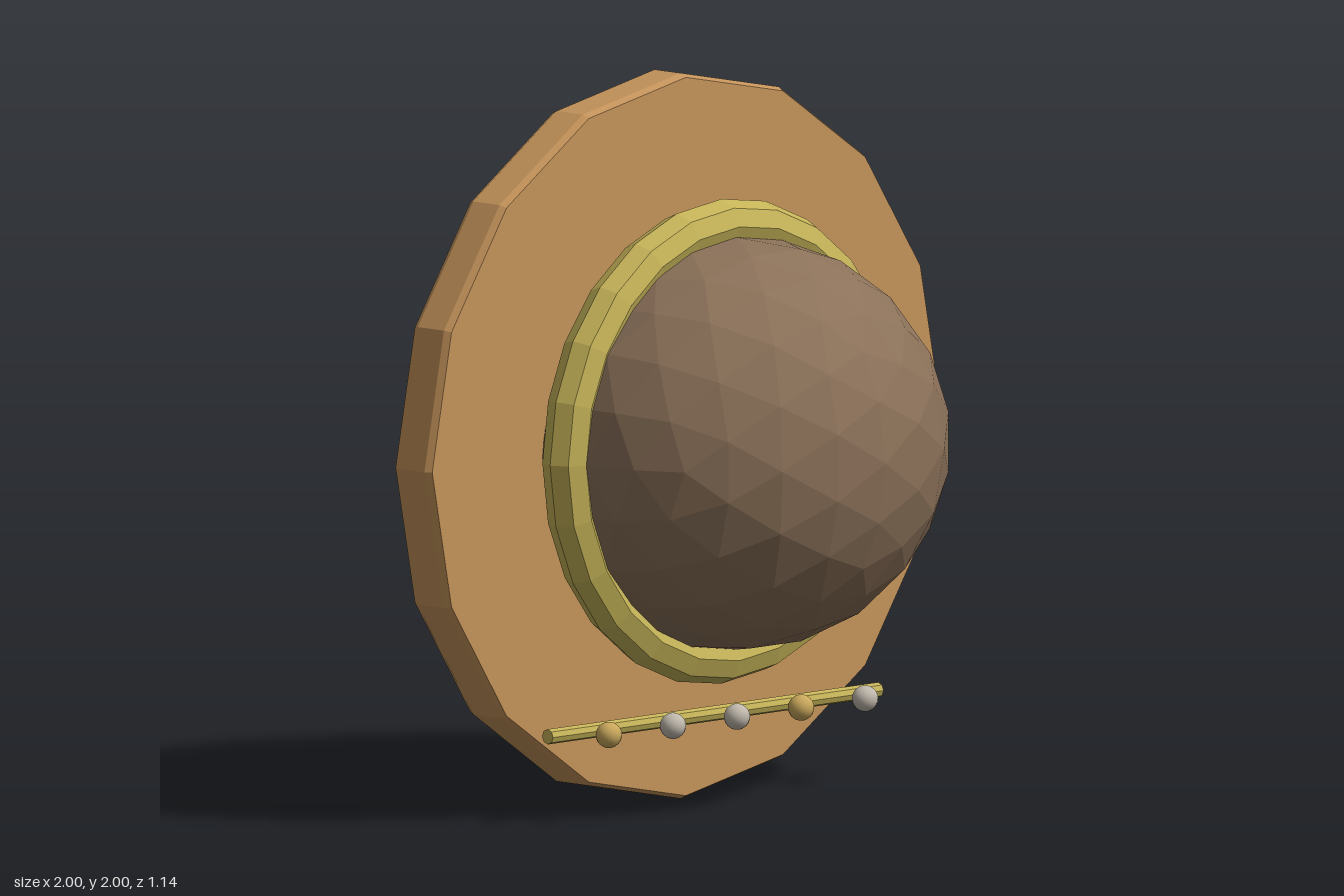
import * as THREE from 'three';

export function createModel() {
  const model = new THREE.Group();
  const paint = (name, color, flatShading = true) => {
    const m = new THREE.MeshStandardMaterial({ color, flatShading });
    m.name = name;
    return m;
  };
  const tan = paint('tan', 0xc4935a);
  const brown = paint('brown', 0x8b7159);
  const brass = paint('brass', 0xc5b358);
  const gold = paint('gold', 0xc9a85c, false);
  const silver = paint('silver', 0xc0b8ac, false);

  const add = (name, geometry, material, x, y, z) => {
    const mesh = new THREE.Mesh(geometry, material);
    mesh.name = name;
    mesh.position.set(x, y, z);
    model.add(mesh);
    return mesh;
  };

  // Sixteen-sided brim disc with a softened rim
  const rim = [[0, -0.07], [0.99, -0.07], [1, -0.05], [1, 0.05], [0.99, 0.07], [0, 0.07]]
    .map(([r, h]) => new THREE.Vector2(r, h));
  add('brim', new THREE.LatheGeometry(rim, 16), tan, 0, 1, -0.265).rotation.x = Math.PI / 2;

  // Faceted dome, slightly wider than tall, passing through the brim
  add('dome', new THREE.IcosahedronGeometry(0.568, 3), brown, 0, 1, 0).scale.x = 1.055;

  // Band around the dome
  add('band', new THREE.TorusGeometry(0.598, 0.07, 8, 24), brass, 0, 1, -0.06);

  // Crossbar below the dome
  add('crossbar', new THREE.CylinderGeometry(0.021, 0.021, 1.29, 8), brass, 0, 0.247, -0.092)
    .rotation.z = Math.PI / 2;

  // Row of beads in front of the crossbar
  const bead = new THREE.SphereGeometry(0.036, 16, 12);
  [gold, silver, silver, gold, silver].forEach((material, i) =>
    add(`bead${i + 1}`, bead, material, -0.5 + i * 0.25, 0.247, 0));

  return model;
}
